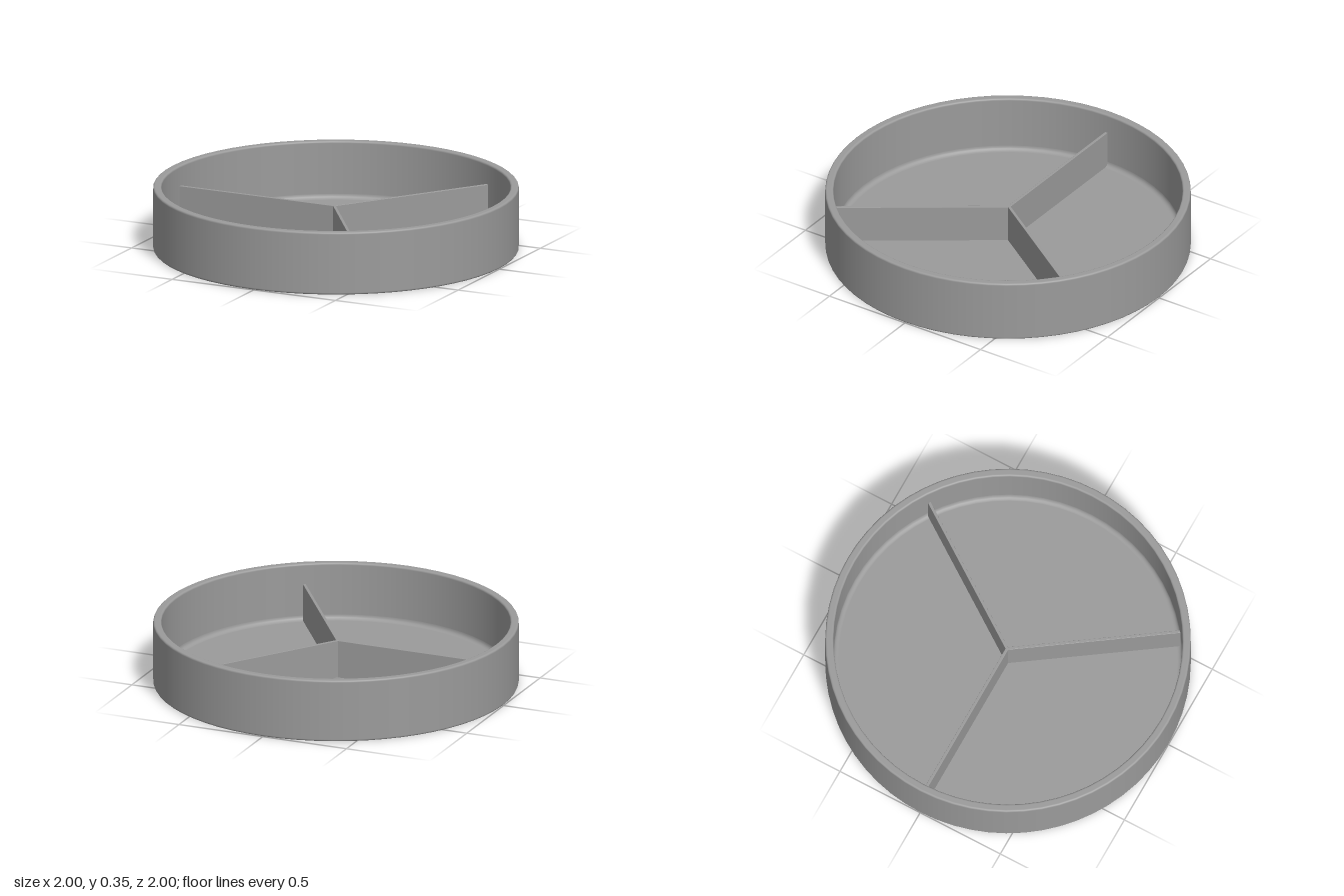
import * as THREE from 'three';

const HEIGHT = 0.352, INNER_R = 0.955, FLOOR = 0.028;
const material = new THREE.MeshStandardMaterial({ color: 0x9b9b9b });

// Round tray: one closed wall-and-floor profile with softened edges
function makeTray() {
  const pts = [new THREE.Vector2(0, 0)];
  // Corner arc, with a support point on each side to keep the flats flat
  const corner = (cx, cy, r, from, turn, steps = 5) => {
    const at = (a) => new THREE.Vector2(cx + r * Math.cos(a), cy + r * Math.sin(a));
    const s = Math.sign(turn) * 0.002;
    const tangent = (a, k) => at(a).add(new THREE.Vector2(-Math.sin(a) * k, Math.cos(a) * k));
    pts.push(tangent(from, -s));
    for (let i = 0; i <= steps; i++) pts.push(at(from + (turn * i) / steps));
    pts.push(tangent(from + turn, s));
  };
  const q = Math.PI / 2, e = 0.01, f = 0.025;
  corner(1 - e, e, e, -q, q);                       // outer bottom edge
  corner(1 - e, HEIGHT - e, e, 0, q);               // outer rim edge
  corner(INNER_R + e, HEIGHT - e, e, q, q);         // inner rim edge
  corner(INNER_R - f, FLOOR + f, f, 0, -q);         // fillet between wall and floor
  pts.push(new THREE.Vector2(0, FLOOR));
  const tray = new THREE.Mesh(new THREE.LatheGeometry(pts, 64), material);
  tray.name = 'tray';
  return tray;
}

// Y-shaped divider standing on the floor, lower than the rim
function makeDivider() {
  const half = 0.008, bevel = 0.002, top = 0.24, bottom = 0.02;
  const t = half - bevel;
  const spread = THREE.MathUtils.degToRad(55.3);
  const arms = [
    { angle: -spread, length: 0.95 },
    { angle: spread, length: 0.95 },
    { angle: Math.PI, length: 0.942 },
  ];
  const outline = [];
  arms.forEach(({ angle, length }, i) => {
    const c = Math.cos(angle), s = Math.sin(angle);
    for (const side of [-t, t]) outline.push(new THREE.Vector2(c * length - s * side, s * length + c * side));
    // Inner corner shared with the next arm
    const next = arms[(i + 1) % 3].angle + (i === 2 ? 2 * Math.PI : 0);
    const mid = (angle + next) / 2, d = t / Math.sin((next - angle) / 2);
    outline.push(new THREE.Vector2(Math.cos(mid) * d, Math.sin(mid) * d));
  });
  const geometry = new THREE.ExtrudeGeometry(new THREE.Shape(outline), {
    depth: top - bottom - 2 * bevel,
    bevelEnabled: true, bevelSize: bevel, bevelThickness: bevel, bevelSegments: 2,
  });
  geometry.rotateX(-Math.PI / 2);
  const divider = new THREE.Mesh(geometry, material);
  divider.position.set(-0.01, bottom + bevel, 0);
  divider.name = 'divider';
  return divider;
}

export function createModel() {
  const group = new THREE.Group();
  group.name = 'dividedTray';
  group.add(makeTray(), makeDivider());
  return group;
}
